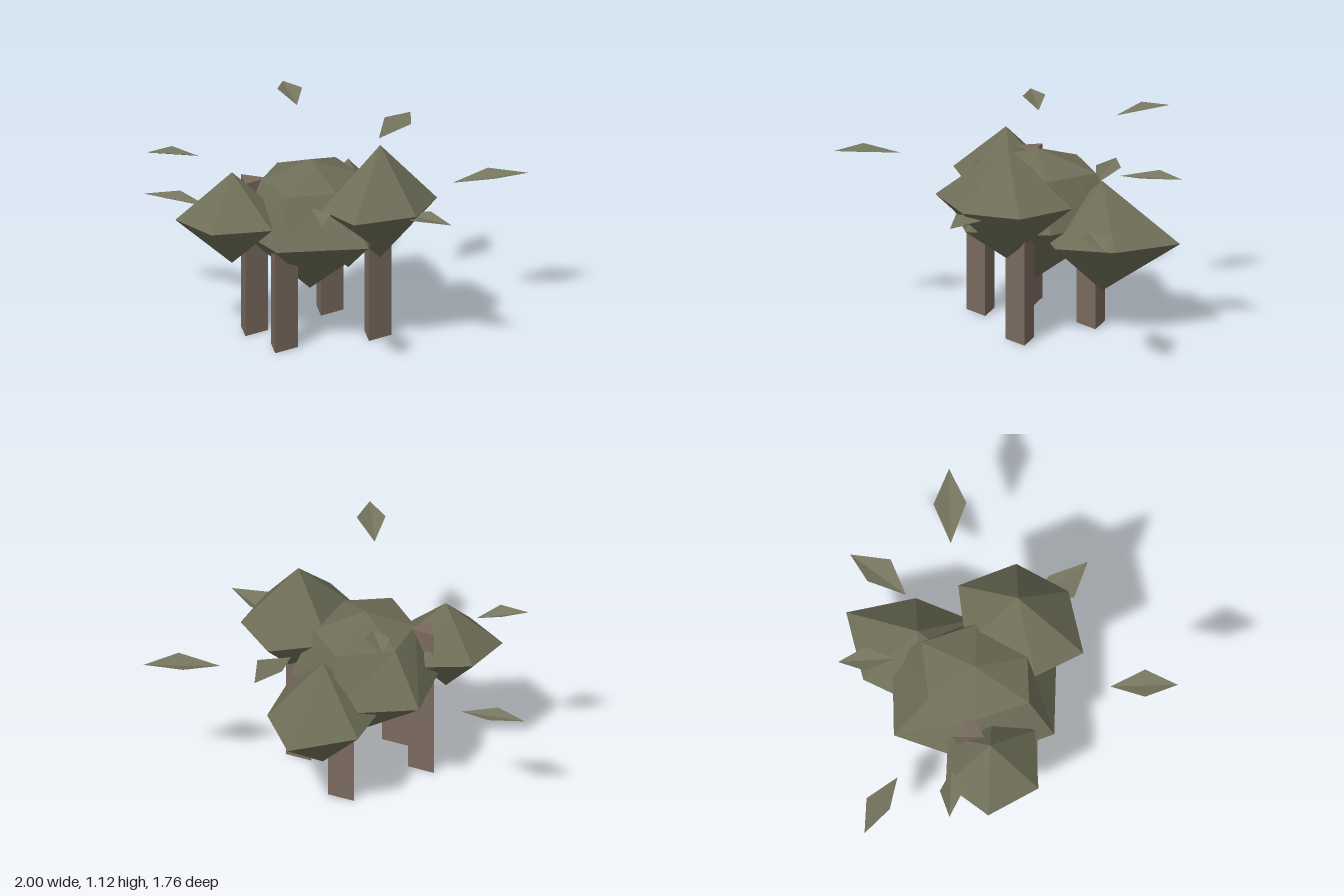
import * as THREE from 'three';

const material = (color, side = THREE.FrontSide) =>
  new THREE.MeshStandardMaterial({ color, flatShading: true, side });

const crownMaterial = material(0x6e6e58);
const leafMaterial = material(0x75755f, THREE.DoubleSide);
const trunkMaterial = material(0x7a6a5e);

function facetGeometry(triangles) {
  const geometry = new THREE.BufferGeometry();
  geometry.setAttribute('position', new THREE.Float32BufferAttribute(triangles.flat(2), 3));
  geometry.computeVertexNormals();
  return geometry;
}

// Closed faceted solid: levels run from top to bottom, each [y, [[x, z], ...]].
// A level with one point is an apex.
function crownGeometry(levels) {
  const triangles = [];
  const point = ([y, ring], i) => {
    const [x, z] = ring[i % ring.length];
    return [x, y, z];
  };
  for (let k = 0; k < levels.length - 1; k++) {
    const upper = levels[k], lower = levels[k + 1];
    for (let i = 0; i < 6; i++) {
      if (upper[1].length > 1) triangles.push([point(upper, i), point(upper, i + 1), point(lower, i + 1)]);
      if (lower[1].length > 1) triangles.push([point(upper, i), point(lower, i + 1), point(lower, i)]);
    }
  }
  return facetGeometry(triangles);
}

// Diamond leaf folded upwards along its spine; every point is [x, y, z].
function leafGeometry(inner, sideA, outer, sideB) {
  return facetGeometry([[inner, sideA, outer], [inner, outer, sideB]]);
}

const crowns = {
  leftFrontCrown: [
    [1.08, [[0.17, 0.05]]],
    [0.77, [[0.47, 0.04], [0.32, 0.31], [-0.02, 0.39], [-0.15, 0.14], [0.03, -0.22], [0.35, -0.26]]],
    [0.46, [[0.17, 0.05]]],
  ],
  rightCrown: [
    [0.92, [[-0.585, -0.09]]],
    [0.67, [[-0.31, -0.08], [-0.41, 0.14], [-0.73, 0.16], [-0.88, -0.1], [-0.71, -0.32], [-0.45, -0.31]]],
    [0.42, [[-0.585, -0.09]]],
  ],
  backCrown: [
    [0.82, [[0.08, -0.47]]],
    [0.52, [[0.37, -0.48], [0.25, -0.19], [-0.06, -0.17], [-0.23, -0.45], [-0.08, -0.75], [0.29, -0.84]]],
    [0.22, [[0.08, -0.47]]],
  ],
  centralCrown: [
    [0.94, [[-0.16, -0.17]]],
    [0.84, [[0.11, -0.17], [-0.07, 0.1], [-0.32, 0.11], [-0.42, -0.17], [-0.3, -0.41], [0.01, -0.45]]],
    [0.585, [[0.22, -0.17], [0.08, 0.25], [-0.4, 0.24], [-0.56, -0.17], [-0.41, -0.59], [0.05, -0.6]]],
    [0.23, [[-0.165, -0.17]]],
  ],
};

// Trunk positions: x, z, height
const trunks = [
  [-0.467, -0.195, 0.84],
  [-0.352, 0.08, 0.65],
  [-0.035, -0.44, 0.65],
  [0.155, -0.03, 0.75],
];

// Leaves: height of the inner tip, then inner tip, side, outer tip, side as [x, z]
const leaves = [
  [0.555, [-0.63, -0.57], [-0.76, -0.73], [-0.95, -0.74], [-0.82, -0.61]],
  [0.945, [-0.73, -0.29], [-0.86, -0.35], [-1.0, -0.3], [-0.86, -0.23]],
  [1.085, [-0.17, -0.59], [-0.12, -0.74], [-0.2, -0.88], [-0.25, -0.74]],
  [0.9, [0.25, -0.53], [0.43, -0.61], [0.46, -0.82], [0.31, -0.73]],
  [0.72, [0.6, -0.3], [0.81, -0.22], [1.0, -0.31], [0.8, -0.39]],
  [0.72, [0.27, 0.11], [0.29, 0.34], [0.49, 0.41], [0.41, 0.21]],
  [0.925, [-0.26, 0.53], [-0.33, 0.71], [-0.26, 0.88], [-0.18, 0.71]],
];

export function createModel() {
  const model = new THREE.Group();
  model.name = 'treeCluster';

  const add = (name, geometry, mat) => {
    const mesh = new THREE.Mesh(geometry, mat);
    mesh.name = name;
    model.add(mesh);
    return mesh;
  };

  // Faceted crowns
  for (const [name, levels] of Object.entries(crowns)) add(name, crownGeometry(levels), crownMaterial);

  // Three-sided trunks, one corner towards +x
  trunks.forEach(([x, z, height], i) => {
    const trunk = add(`trunk${i + 1}`, new THREE.CylinderGeometry(0.086, 0.086, height, 3), trunkMaterial);
    trunk.position.set(x, height / 2, z);
    trunk.rotation.y = Math.PI / 2;
  });

  // Floating leaves, rising slightly towards the outer tip
  const rise = [0, 0.04, 0.03, 0.04];
  leaves.forEach(([y, ...corners], i) => {
    const points = corners.map(([x, z], k) => [x, y + rise[k], z]);
    add(`leaf${i + 1}`, leafGeometry(...points), leafMaterial);
  });

  return model;
}
